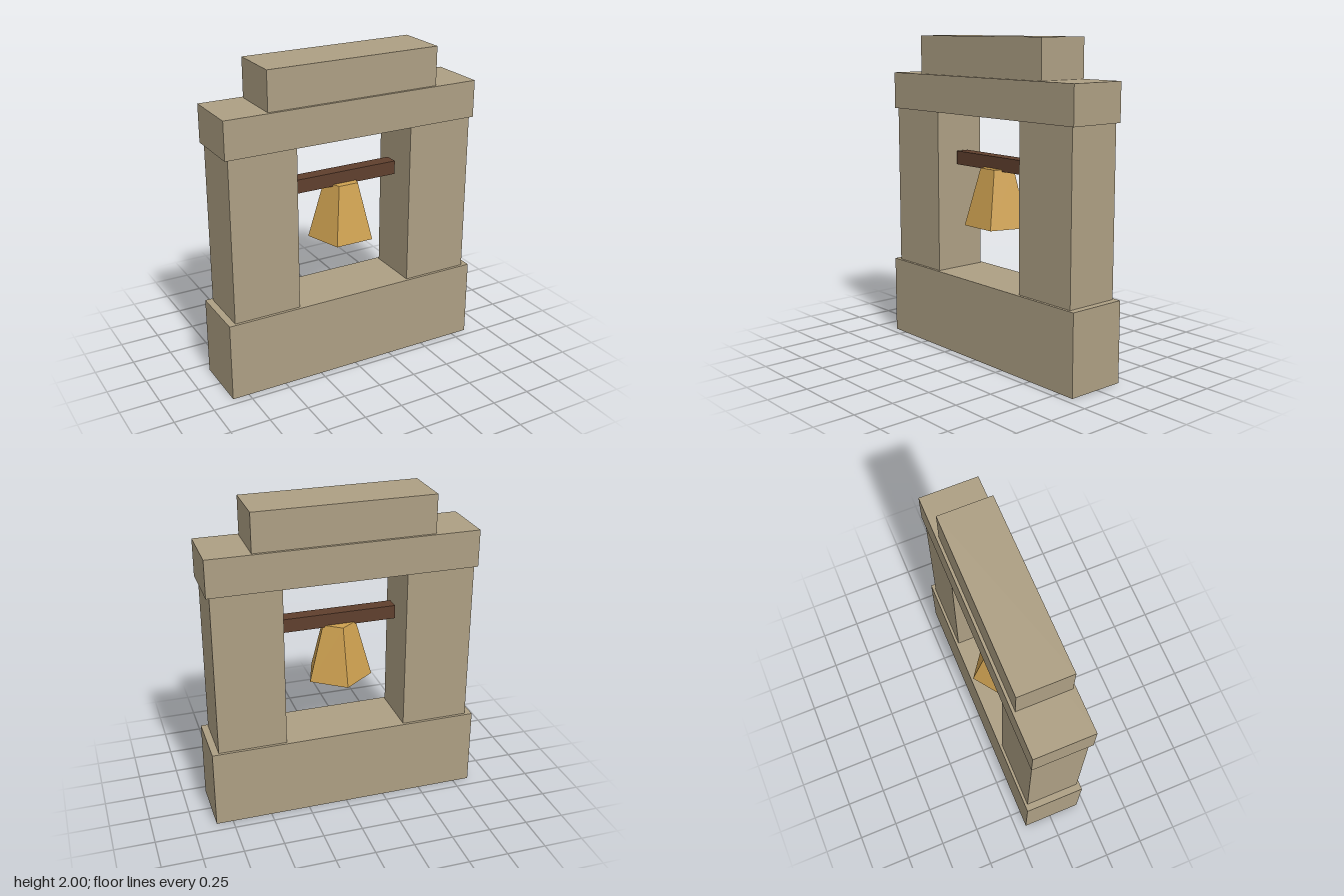
import * as THREE from 'three';

const stone = new THREE.MeshStandardMaterial({ name: 'stone', color: 0xad9f83 });
const wood = new THREE.MeshStandardMaterial({ name: 'dark wood', color: 0x5f3f2d });
const brass = new THREE.MeshStandardMaterial({ name: 'brass', color: 0xcda050, flatShading: true });

const DEPTH_CENTRE = 0.01;

// Box standing on y = bottom, on the shared depth axis
function block(name, material, width, bottom, top, depth, x = 0) {
  const mesh = new THREE.Mesh(new THREE.BoxGeometry(width, top - bottom, depth), material);
  mesh.name = name;
  mesh.position.set(x, (bottom + top) / 2, DEPTH_CENTRE);
  return mesh;
}

export function createModel() {
  const group = new THREE.Group();
  group.name = 'bellArch';

  // Stone frame
  group.add(block('base', stone, 1.71, 0, 0.5, 0.38));
  for (const side of [-1, 1]) {
    group.add(block(side > 0 ? 'leftPillar' : 'rightPillar', stone, 0.428, 0.5, 1.525, 0.345, side * 0.598));
  }
  group.add(block('lintel', stone, 1.666, 1.525, 1.758, 0.37));
  group.add(block('capstone', stone, 1.116, 1.758, 2, 0.335));

  // Wooden beam
  group.add(block('beam', wood, 0.714, 1.186, 1.272, 0.086));

  // Five-sided bell, one corner pointing to the back
  const bell = new THREE.Mesh(new THREE.CylinderGeometry(0.11, 0.21, 0.358, 5, 1, false, Math.PI), brass);
  bell.name = 'bell';
  bell.position.set(0, 1.019, DEPTH_CENTRE);
  group.add(bell);

  return group;
}
